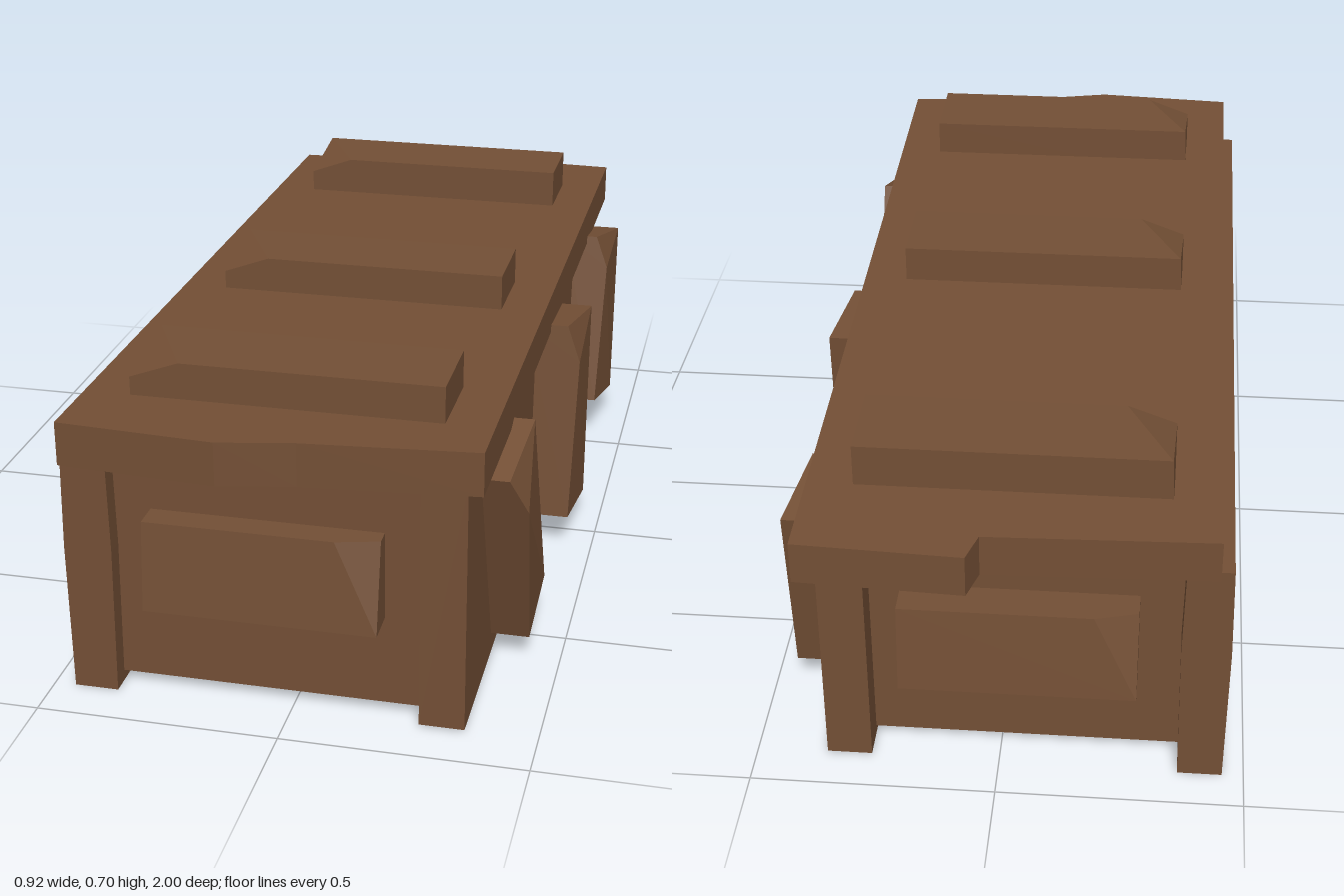
import * as THREE from 'three';
import { ConvexGeometry } from 'three/addons/geometries/ConvexGeometry.js';

const wood = new THREE.MeshStandardMaterial({ color: 0x734f35 });
wood.name = 'brown wood';

// height offset of the lid, which sinks towards the back
const slope = (z) => 0.0175 * (z - 1);

export function createModel() {
  const model = new THREE.Group();
  const add = (name, geometry) => {
    const mesh = new THREE.Mesh(geometry, wood);
    mesh.name = name;
    model.add(mesh);
    return mesh;
  };
  const hull = (name, points) =>
    add(name, new ConvexGeometry(points.map((p) => new THREE.Vector3(...p))));

  // inner box: floor and recessed end panels
  const inner = [];
  for (const x of [-0.38, 0.28]) {
    for (const z of [-0.85, 0.86]) inner.push([x, 0.025, z], [x, 0.56 + slope(z), z]);
  }
  hull('innerBox', inner);

  // side planks: slightly bowed, tops following the lid
  const plank = (name, inside, outside, bottom, top, bow) => {
    const points = [];
    for (const z of [-0.915, 0.9]) {
      for (const [x, d] of [[inside, bow[0]], [outside, bow[1]]]) {
        points.push([x, bottom, z], [x + d, 0.32, z], [x, top + slope(z), z]);
      }
    }
    hull(name, points);
  };
  plank('leftOfFrontPlank', -0.365, -0.456, 0.002, 0.557, [0.004, -0.004]);
  plank('rightOfFrontPlank', 0.262, 0.354, 0.008, 0.545, [0, 0]);

  // lid with roughly cut ends
  const outline = [
    [-0.43, 0.975], [-0.11, 0.997], [0.04, 0.965], [0.388, 0.93],
    [0.385, -0.985], [0.05, -1.0], [0.03, -0.935], [-0.43, -0.92],
  ];
  const lid = new THREE.ExtrudeGeometry(
    new THREE.Shape(outline.map(([x, z]) => new THREE.Vector2(x, -z))),
    { depth: 0.09, bevelEnabled: false }
  );
  lid.rotateX(-Math.PI / 2);
  const pos = lid.attributes.position;
  for (let i = 0; i < pos.count; i++) {
    pos.setY(i, pos.getY(i) + 0.54 + slope(pos.getZ(i)));
  }
  lid.computeVertexNormals();
  add('lid', lid);

  // cross battens on the lid, each with one chipped corner
  for (const [z0, z1, y] of [[0.63, 0.815, 0.702], [-0.007, 0.177, 0.692], [-0.79, -0.605, 0.688]]) {
    const points = [];
    for (const z of [z0, z1]) points.push([-0.335, 0.57, z], [0.292, 0.57, z], [0.292, y, z]);
    points.push([-0.33, y, z0], [-0.335, y - 0.037, z1], [-0.235, y, z1]);
    hull('lidBatten', points);
  }

  // crooked battens on the side; corners are [z, y]: top front, top back, bottom back, bottom front
  const sideBattens = [
    { c: [[0.76, 0.49], [0.58, 0.545], [0.43, 0.11], [0.6, 0.055]], x: [0.41, 0.43, 0.44, 0.435], chip: 0.445 },
    { c: [[0.055, 0.54], [-0.13, 0.522], [-0.09, 0.065], [0.095, 0.082]], x: [0.425, 0.455, 0.458, 0.445], chip: 0.455 },
    { c: [[-0.595, 0.53], [-0.78, 0.495], [-0.71, 0.075], [-0.52, 0.11]], x: [0.41, 0.445, 0.45, 0.43], chip: 0.44 },
  ];
  for (const { c, x, chip } of sideBattens) {
    const points = [];
    c.forEach(([z, y], i) => points.push([0.33, y, z], [x[i], y, z]));
    const mix = (a, b) => a + (b - a) * 0.18;
    points.push([chip, mix(c[0][1], c[3][1]), mix(c[0][0], c[3][0])]);
    hull('sideBatten', points);
  }

  // end battens, the back one turned half round
  const endBatten = (name, shift) => {
    const points = [];
    for (const x of [-0.237, 0.237]) {
      points.push([x, 0.22, 0.83], [x, 0.405, 0.83], [x, 0.216, 0.935]);
    }
    points.push([-0.237, 0.405, 0.918], [0.15, 0.405, 0.918], [0.237, 0.405, 0.895]);
    const mesh = hull(name, points);
    mesh.position.x = shift;
    return mesh;
  };
  endBatten('frontBatten', -0.052);
  const back = endBatten('backBatten', -0.04);
  back.rotation.y = Math.PI;
  back.position.z = -0.01;

  return model;
}
